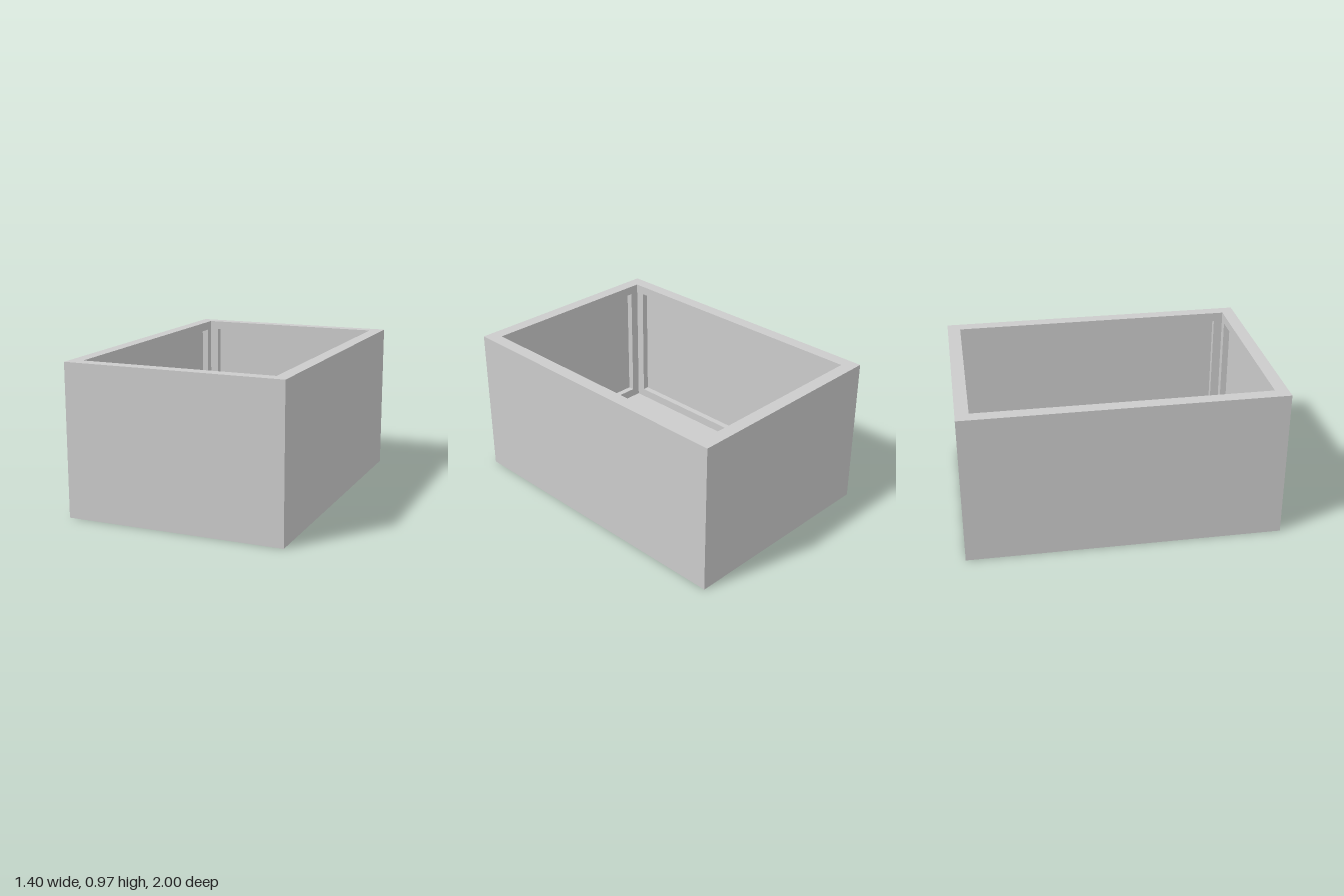
import * as THREE from 'three';

const W = 1.4, H = 0.97, D = 2;          // outer size
const WALL = 0.083, FLOOR = 0.068;       // wall and floor thickness
const BORDER = 0.058, RECESS = 0.042;    // frame around, and depth of, the inner panels
const TOP = 2, FRONT = 4;                // box face numbers

const material = new THREE.MeshStandardMaterial({ color: 0xcccccc });

function add(parent, name, geometry, x = 0, y = 0, z = 0) {
  const mesh = new THREE.Mesh(geometry, material);
  mesh.name = name;
  mesh.position.set(x, y, z);
  parent.add(mesh);
  return mesh;
}

// Box with one face left out; inward turns its faces to the inside
function openBox(w, h, d, missingFace, inward) {
  const g = new THREE.BoxGeometry(w, h, d);
  const index = Array.from(g.index.array);
  index.splice(missingFace * 6, 6);
  if (inward) {
    index.reverse();
    const n = g.attributes.normal;
    for (let i = 0; i < n.count; i++) n.setXYZ(i, -n.getX(i), -n.getY(i), -n.getZ(i));
  }
  g.setIndex(index);
  return g;
}

// Flat rectangular frame facing +z
function frame(w, h, innerW, innerH) {
  const rect = (Type, a, b) => new Type([[-a, -b], [a, -b], [a, b], [-a, b]]
    .map(([x, y]) => new THREE.Vector2(x / 2, y / 2)));
  const shape = rect(THREE.Shape, w, h);
  shape.holes.push(rect(THREE.Path, innerW, innerH));
  return new THREE.ShapeGeometry(shape);
}

// Inner wall face with a sunken panel, facing +z
function innerWall(width, height) {
  const wall = new THREE.Group();
  const pw = width - 2 * BORDER, ph = height - 2 * BORDER;
  add(wall, 'panelFrame', frame(width, height, pw, ph));
  add(wall, 'sunkenPanel', openBox(pw, ph, RECESS, FRONT, true), 0, 0, -RECESS / 2);
  return wall;
}

export function createModel() {
  const model = new THREE.Group();
  model.name = 'openBox';
  const iw = W - 2 * WALL, id = D - 2 * WALL, ih = H - FLOOR;

  add(model, 'outerShell', openBox(W, H, D, TOP, false), 0, H / 2, 0);
  add(model, 'rim', frame(W, D, iw, id), 0, H, 0).rotation.x = -Math.PI / 2;
  add(model, 'floor', new THREE.PlaneGeometry(iw, id), 0, FLOOR, 0).rotation.x = -Math.PI / 2;

  // Four inner walls, each turned to face the middle
  ['back', 'right', 'front', 'left'].forEach((side, i) => {
    const alongX = i % 2 === 0;
    const angle = i * Math.PI / 2;
    const wall = innerWall(alongX ? iw : id, ih);
    const distance = (alongX ? id : iw) / 2;
    wall.name = side + 'InnerWall';
    wall.rotation.y = angle;
    wall.position.set(-Math.sin(angle) * distance, FLOOR + ih / 2, -Math.cos(angle) * distance);
    model.add(wall);
  });
  return model;
}
